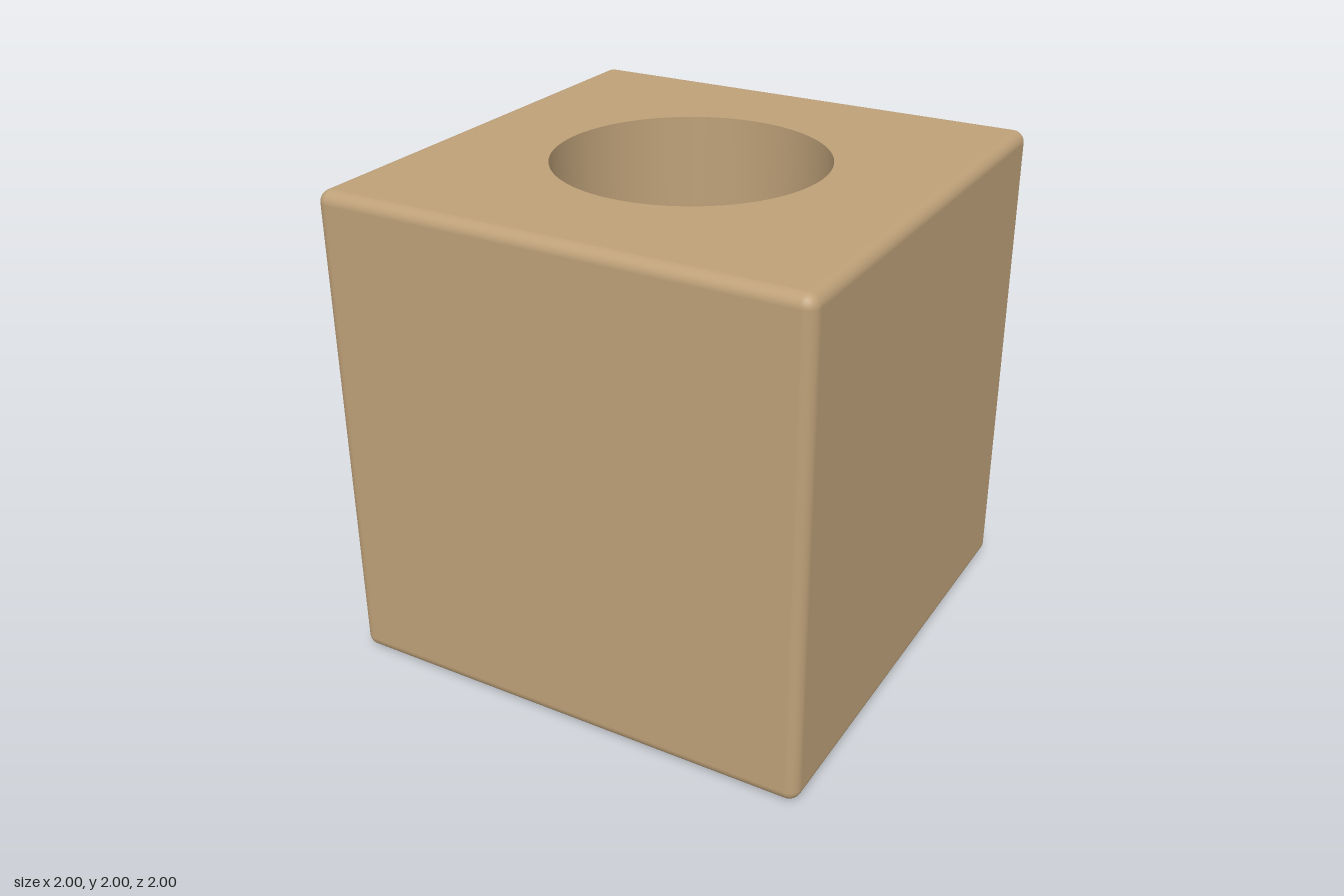
import * as THREE from 'three';
import { RoundedBoxGeometry } from 'three/addons/geometries/RoundedBoxGeometry.js';

const EDGE = 0.05;            // rounding of the block's edges
const R = 0.545;              // vertical bore radius
const A = 0.49, H = 0.1;      // slot end radius and half of its straight length
const YC = 1.07;              // slot centre height
const X_END = 0.55;           // blind end of the slot
const Z_FLOOR = 0.46;         // where the slot cuts the bore's floor
const FLOOR = YC - H - Math.sqrt(A * A - Z_FLOOR * Z_FLOOR);

const tan = new THREE.MeshStandardMaterial({ color: 0xbda078, side: THREE.DoubleSide });
tan.name = 'tan';

const range = (from, to, n) => Array.from({ length: n + 1 }, (_, i) => from + (to - from) * i / n);

// Smooth strip between two curves p(t) and q(t)
function ribbon(ts, p, q) {
  const pos = [], index = [];
  ts.forEach((t, i) => {
    pos.push(...p(t), ...q(t));
    if (i) {
      const k = 2 * (i - 1);
      index.push(k, k + 1, k + 2, k + 1, k + 3, k + 2);
    }
  });
  const g = new THREE.BufferGeometry();
  g.setAttribute('position', new THREE.Float32BufferAttribute(pos, 3));
  g.setIndex(index);
  g.computeVertexNormals();
  return g;
}

// Rounded block without the flat middles of its top and -x faces
function shellGeometry() {
  const src = new RoundedBoxGeometry(2, 2, 2, 5, EDGE).toNonIndexed();
  const p = src.attributes.position, n = src.attributes.normal;
  const pos = [], nor = [];
  for (let i = 0; i < p.count; i += 3) {
    const all = (test) => [i, i + 1, i + 2].every(test);
    if (all((j) => p.getY(j) > 0.9999) || all((j) => p.getX(j) < -0.9999)) continue;
    for (let j = i; j < i + 3; j++) {
      pos.push(p.getX(j), p.getY(j) + 1, p.getZ(j));
      nor.push(n.getX(j), n.getY(j), n.getZ(j));
    }
  }
  const g = new THREE.BufferGeometry();
  g.setAttribute('position', new THREE.Float32BufferAttribute(pos, 3));
  g.setAttribute('normal', new THREE.Float32BufferAttribute(nor, 3));
  return g;
}

function square() {
  const s = 1 - EDGE;
  return new THREE.Shape([[-s, -s], [s, -s], [s, s], [-s, s]].map(([x, y]) => new THREE.Vector2(x, y)));
}

// Slot outline, centred on the block's middle height
function slotOutline(PathType) {
  const path = new PathType();
  path.absarc(0, YC - 1 + H, A, 0, Math.PI, false);
  path.absarc(0, YC - 1 - H, A, Math.PI, 2 * Math.PI, false);
  path.closePath();
  return path;
}

export function createModel() {
  const model = new THREE.Group();
  model.name = 'boredBlock';
  const add = (name, geometry) => {
    const mesh = new THREE.Mesh(geometry, tan);
    mesh.name = name;
    model.add(mesh);
  };

  // Outer block
  add('blockShell', shellGeometry());

  const top = square();
  top.holes.push(new THREE.Path().absarc(0, 0, R, 0, 2 * Math.PI, true));
  add('topFace', new THREE.ShapeGeometry(top, 48).rotateX(-Math.PI / 2).translate(0, 2, 0));

  const side = square();
  side.holes.push(slotOutline(THREE.Path));
  add('slottedFace', new THREE.ShapeGeometry(side, 32).rotateY(-Math.PI / 2).translate(-1, 1, 0));

  // Vertical bore
  const onBore = (t, y) => [R * Math.cos(t), y, R * Math.sin(t)];
  const arcHeight = (t) => Math.sqrt(Math.max(0, A * A - (R * Math.sin(t)) ** 2));
  const roof = (t) => onBore(t, YC + H + arcHeight(t));
  const sill = (t) => onBore(t, YC - H - arcHeight(t));
  const rim = (t) => onBore(t, 2);
  const base = (t) => onBore(t, FLOOR);
  const tA = Math.asin(A / R), tF = Math.asin(Z_FLOOR / R);
  for (const turn of [0, Math.PI]) {
    add('boreWall', ribbon(range(turn + tA, turn + Math.PI - tA, 24), rim, base));
    add('boreWallOverSlot', ribbon(range(turn - tA, turn + tA, 48), rim, roof));
    add('boreWallUnderSlot', ribbon(range(turn + tF, turn + tA, 8), sill, base));
    add('boreWallUnderSlot', ribbon(range(turn - tA, turn - tF, 8), sill, base));
    const zCut = turn ? -Z_FLOOR : Z_FLOOR;
    add('boreFloor', ribbon(range(turn + tF, turn + Math.PI - tF, 24), base,
      (t) => [R * Math.cos(t), FLOOR, zCut]));
  }

  // Slot running in from the -x face, angle measured from its top
  const onSlot = (x, f, s) => [x, YC + s * H + A * Math.cos(f), A * Math.sin(f)];
  const boreX = (f) => Math.sqrt(R * R - (A * Math.sin(f)) ** 2);
  const fF = Math.PI - Math.asin(Z_FLOOR / A);
  const half = Math.PI / 2;
  const upper = [
    ...range(-fF, -half, 10).map((f) => [f, -1]),
    ...range(-half, half, 48).map((f) => [f, 1]),
    ...range(half, fF, 10).map((f) => [f, -1]),
  ];
  add('slotEntryWall', ribbon(upper, ([f, s]) => onSlot(-1, f, s), ([f, s]) => onSlot(-boreX(f), f, s)));
  add('slotEndWall', ribbon(upper, ([f, s]) => onSlot(boreX(f), f, s), ([f, s]) => onSlot(X_END, f, s)));
  add('slotTrough', ribbon(range(fF, 2 * Math.PI - fF, 40),
    (f) => onSlot(-1, f, -1), (f) => onSlot(X_END, f, -1)));
  add('slotEndCap', new THREE.ShapeGeometry(slotOutline(THREE.Shape), 32)
    .rotateY(-Math.PI / 2).translate(X_END, 1, 0));

  return model;
}
